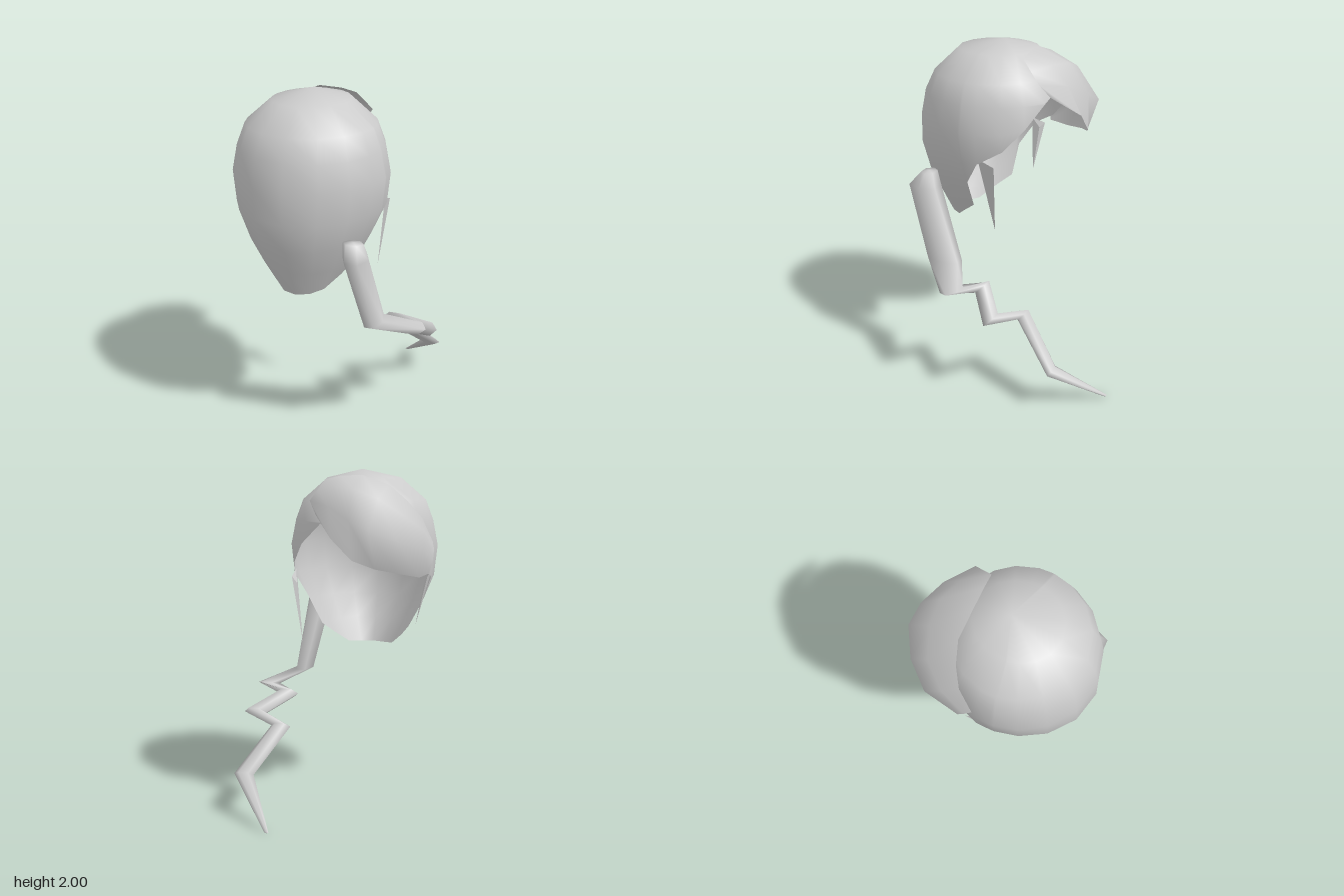
import * as THREE from 'three';
import { mergeVertices } from 'three/addons/utils/BufferGeometryUtils.js';
import { ConvexGeometry } from 'three/addons/geometries/ConvexGeometry.js';

const material = new THREE.MeshStandardMaterial({ color: 0xcccccc, side: THREE.DoubleSide });

function addMesh(group, name, geometry) {
  const mesh = new THREE.Mesh(geometry, material);
  mesh.name = name;
  group.add(mesh);
}

// Smooth surface through rows of points; rows run downwards
function loft(rows) {
  const index = [];
  const n = rows[0].length;
  for (let r = 0; r < rows.length - 1; r++) {
    for (let c = 0; c < n - 1; c++) {
      const a = r * n + c, b = a + n;
      index.push(a, b, b + 1, a, b + 1, a + 1);
    }
  }
  let geometry = new THREE.BufferGeometry();
  geometry.setAttribute('position', new THREE.Float32BufferAttribute(rows.flat(2), 3));
  geometry.setIndex(index);
  geometry = mergeVertices(geometry, 1e-4);
  geometry.computeVertexNormals();
  return geometry;
}

// Levels of the cap: height, half width, depth towards the front, depth towards the back
const levels = [
  [2.0, 0, -0.05, 0.05],
  [1.95, 0.22, 0.23, 0.25],
  [1.82, 0.37, 0.37, 0.36],
  [1.7, 0.415, 0.43, 0.405],
  [1.55, 0.445, 0.46, 0.425],
  [1.37, 0.425, 0.47, 0.42],
  [1.2, 0.355, 0.435, 0.38],
  [1.05, 0.275, 0.375, 0.33],
  [0.9, 0.18, 0.31, 0.28],
];
// Hairline of one half: angle from the nape, height of the edge
const hairline = [
  [0, 0.9], [25, 0.9], [48, 0.91], [68, 0.98], [84, 1.05], [86, 1.23],
  [98, 1.37], [118, 1.45], [136, 1.57], [155, 1.69], [180, 1.75],
];

function capPoint(angle, y) {
  let i = 0;
  while (i < levels.length - 2 && levels[i + 1][0] > y) i++;
  const [lo, hi] = [levels[i], levels[i + 1]];
  const t = (lo[0] - y) / (lo[0] - hi[0]);
  const [hx, front, back] = [1, 2, 3].map((k) => lo[k] + (hi[k] - lo[k]) * t);
  const a = THREE.MathUtils.degToRad(angle);
  const c = Math.cos(a);
  // At the crown both depths meet in a single point
  const z = y >= 2 ? 0.15 : 0.2 + c * (c > 0 ? front : back);
  return [-0.13 + Math.sin(a) * hx, y, z];
}

function capGeometry() {
  const mirrored = hairline.slice(1).reverse().map(([a, y]) => [-a, y]);
  const columns = [...mirrored, ...hairline];
  return loft(levels.map(([y]) => columns.map(([a, edge]) => capPoint(a, Math.max(y, edge)))));
}

// Swept fringe: strips from its upper edge down to its lower edge
function fringeGeometry() {
  const strips = [
    [[0.05, 1.94, -0.04], [0.08, 1.88, -0.1], [0.11, 1.82, -0.16], [0.06, 1.74, -0.21]],
    [[-0.04, 1.96, -0.04], [-0.03, 1.9, -0.18], [-0.03, 1.79, -0.28], [-0.06, 1.62, -0.35]],
    [[-0.17, 1.965, -0.04], [-0.16, 1.89, -0.23], [-0.16, 1.72, -0.355], [-0.18, 1.5, -0.35]],
    [[-0.33, 1.91, -0.05], [-0.3, 1.84, -0.23], [-0.28, 1.66, -0.375], [-0.3, 1.45, -0.3]],
    [[-0.43, 1.82, -0.02], [-0.44, 1.74, -0.18], [-0.43, 1.6, -0.295], [-0.42, 1.42, -0.22]],
    [[-0.51, 1.72, 0.03], [-0.54, 1.65, -0.06], [-0.55, 1.55, -0.16], [-0.52, 1.39, -0.1]],
    [[-0.56, 1.58, 0.12], [-0.575, 1.54, 0.08], [-0.575, 1.48, 0.04], [-0.555, 1.4, 0.04]],
  ];
  return loft([0, 1, 2, 3].map((r) => strips.map((s) => s[r])));
}

// Zigzag tail: centre, half width along x, half thickness along y and z
function tailGeometry() {
  const rings = [
    [0.21, 1.255, 0.495, 0, 0, 0],
    [0.21, 1.25, 0.495, 0.06, 0, 0.045],
    [0.23, 1.17, 0.515, 0.075, 0, 0.1],
    [0.293, 0.735, 0.365, 0.055, 0, 0.115],
    [0.49, 0.65, 0.22, 0.072, -0.015, 0.065],
    [0.33, 0.62, 0.1, 0.065, -0.035, 0.035],
    [0.5, 0.52, -0.035, 0.07, -0.035, 0.035],
    [0.3, 0.475, -0.15, 0.06, -0.025, 0.025],
    [0.452, 0.24, -0.395, 0.06, -0.015, 0.015],
    [0.23, 0.003, -0.66, 0.012, -0.003, 0.003],
    [0.23, 0, -0.66, 0, 0, 0],
  ];
  const sides = 6;
  return loft(rings.map(([x, y, z, w, by, bz]) =>
    Array.from({ length: sides + 1 }, (_, i) => {
      const a = ((i % sides) / sides) * Math.PI * 2;
      const s = -Math.sin(a);
      return [x + w * Math.cos(a), y + by * s, z + bz * s];
    })));
}

// Thin pointed lock hanging from the hairline
function lockGeometry(points) {
  return new ConvexGeometry(points.map((p) => new THREE.Vector3(...p)));
}

export function createModel() {
  const group = new THREE.Group();
  group.name = 'hair';
  addMesh(group, 'cap', capGeometry());
  addMesh(group, 'fringe', fringeGeometry());
  addMesh(group, 'tail', tailGeometry());
  addMesh(group, 'leftLock', lockGeometry(
    [[0.28, 1.4, 0.14], [0.28, 1.36, 0.04], [0.255, 1.32, 0.06], [0.22, 0.95, 0.065]]));
  addMesh(group, 'rightLock', lockGeometry(
    [[-0.55, 1.4, 0.16], [-0.54, 1.38, 0.07], [-0.52, 1.35, 0.1], [-0.465, 1.08, 0.12]]));
  return group;
}
